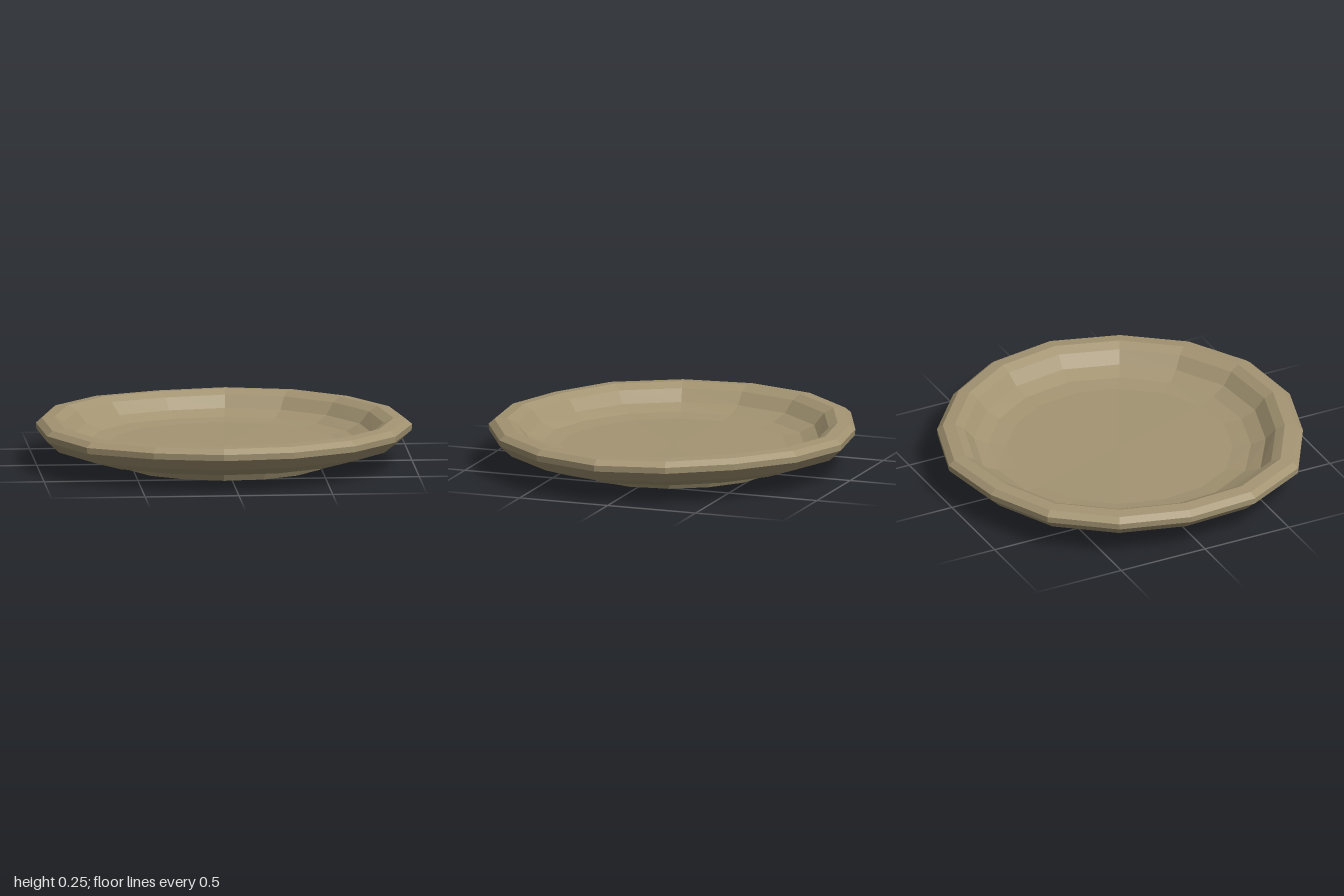
import * as THREE from 'three';

const SIDES = 16;
const PHASE = THREE.MathUtils.degToRad(-4.6);
// Hand-made unevenness: rim radius at each corner, counted from the front towards +x
const RIM = [0.979, 0.987, 0.986, 0.988, 0.998, 0.977, 0.957, 0.97,
  0.982, 0.965, 0.998, 1.004, 1.002, 1.02, 1.03, 0.975];

// Turns a [radius, height] profile and pushes its corners slightly out of round
function turned(name, profile, material) {
  const points = profile.map(([r, y]) => new THREE.Vector2(r, y));
  const lathe = new THREE.LatheGeometry(points, SIDES, PHASE);
  const pos = lathe.attributes.position;
  for (let k = 0; k < pos.count; k++) {
    const side = Math.floor(k / points.length) % SIDES;
    const { x: r, y } = points[k % points.length];
    const weight = THREE.MathUtils.smoothstep(r, 0.5, 0.95);
    const f = 1 + (RIM[side] / 0.988 - 1) * (0.35 + 0.65 * weight);
    const lift = 0.004 * weight * Math.sin(side * 0.375 * Math.PI + 0.6);
    pos.setXYZ(k, pos.getX(k) * f, y + lift, pos.getZ(k) * f);
  }
  const geometry = lathe.toNonIndexed();
  geometry.computeVertexNormals();
  const mesh = new THREE.Mesh(geometry, material);
  mesh.name = name;
  return mesh;
}

export function createModel() {
  const clay = new THREE.MeshStandardMaterial({ color: 0xa39472, flatShading: true });
  clay.name = 'clay';
  const plate = new THREE.Group();
  plate.name = 'plate';

  plate.add(
    // Shallow curved underside up to the widest edge
    turned('underside', [[0, 0.04], [0.58, 0.042], [0.755, 0.065], [0.92, 0.12], [0.985, 0.18]], clay),
    // Rounded rim
    turned('rim', [[0.985, 0.18], [0.988, 0.213], [0.957, 0.24], [0.89, 0.246]], clay),
    // Sloping inner wall and flat floor
    turned('bowl', [[0.89, 0.246], [0.84, 0.22], [0.785, 0.158], [0.705, 0.124], [0.605, 0.112], [0, 0.112]], clay),
    // Foot ring with a recess inside
    turned('footRing', [[0.44, 0.042], [0.455, 0], [0.55, 0], [0.575, 0.044]], clay),
  );
  return plate;
}
